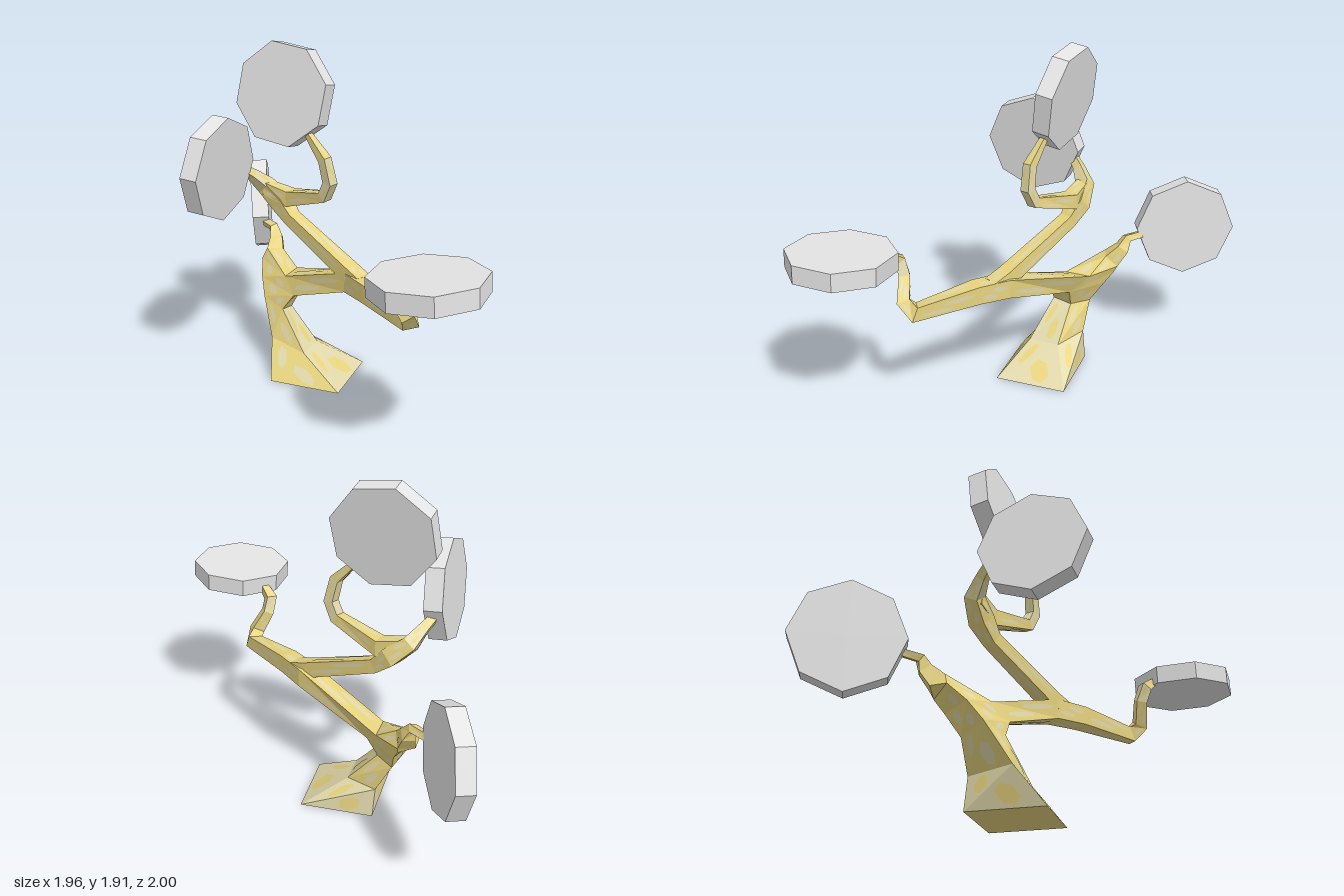
import * as THREE from 'three';

function flat(name, color) {
  const m = new THREE.MeshStandardMaterial({ color, flatShading: true });
  m.name = name;
  return m;
}
const bark = flat('golden bark', 0xe8d47e);
const paleBark = flat('pale bark', 0xe1d8aa);
const leaf = flat('pale foliage', 0xe4e4e4);

const vec = (p) => new THREE.Vector3(p[0], p[1], p[2]);

// Thin lens-shaped bark mark lying on triangle p, q, r, along its edge p-q
function streak(p, q, r, material) {
  const along = q.clone().sub(p);
  const across = r.clone().sub(p).addScaledVector(along, -0.5);
  const n = along.clone().cross(across).normalize();
  const centre = p.clone().add(q).add(r).divideScalar(3).addScaledVector(n, 0.002);
  const geo = new THREE.CircleGeometry(1, 6);
  geo.applyMatrix4(new THREE.Matrix4()
    .makeBasis(along.multiplyScalar(0.26), across.multiplyScalar(0.15), n).setPosition(centre));
  const mesh = new THREE.Mesh(geo, material);
  mesh.name = 'barkStreak';
  return mesh;
}

// Closed skin over four-cornered rings, counter-clockwise seen from the tip;
// isPale(segment, side) picks the lighter bark, streaks take the other one
function loft(name, rings, isPale) {
  const group = new THREE.Group();
  group.name = name;
  const index = [];
  const geo = new THREE.BufferGeometry();
  const last = rings.length - 1;
  for (let s = 0; s < last; s++) {
    for (let i = 0; i < 4; i++) {
      const j = (i + 1) % 4;
      const a = s * 4 + i, b = s * 4 + j;
      const pale = isPale(s, i);
      geo.addGroup(index.length, 6, pale ? 1 : 0);
      index.push(a, b, b + 4, a, b + 4, a + 4);
      const [A, B, C, D] = [rings[s][i], rings[s][j], rings[s + 1][j], rings[s + 1][i]];
      const other = pale ? bark : paleBark;
      if (B.distanceTo(C) > 0.1) group.add(streak(B, C, A, other));
      if (A.distanceTo(D) > 0.1) group.add(streak(D, A, C, other));
    }
  }
  const e = last * 4;
  geo.addGroup(index.length, 12, 0);
  index.push(0, 2, 1, 0, 3, 2, e, e + 1, e + 2, e, e + 2, e + 3);
  const pos = rings.flat().flatMap((p) => p.toArray());
  geo.setAttribute('position', new THREE.Float32BufferAttribute(pos, 3));
  geo.setIndex(index);
  geo.computeVertexNormals();
  const skin = new THREE.Mesh(geo, [bark, paleBark]);
  skin.name = name + 'Skin';
  return group.add(skin);
}

// Square limb along points [x, y, z, half width], optionally grown from a root ring
function limb(name, points, paleSegments, root) {
  const c = points.map(vec);
  let side = null;
  const rings = c.map((p, i) => {
    const t = new THREE.Vector3();
    if (i > 0) t.add(p.clone().sub(c[i - 1]).normalize());
    if (i < c.length - 1) t.add(c[i + 1].clone().sub(p).normalize());
    t.normalize();
    if (!side) side = new THREE.Vector3(0, 1, 0).cross(t);
    side = side.clone().addScaledVector(t, -side.dot(t)).normalize();
    const up = t.clone().cross(side);
    const h = points[i][3];
    return [[-1, -1], [1, -1], [1, 1], [-1, 1]].map(([u, v]) =>
      p.clone().addScaledVector(side, u * h).addScaledVector(up, v * h));
  });
  if (root) rings.unshift(root);
  return loft(name, rings, (s) => paleSegments.includes(s));
}

// Eight-sided leaf pad: centre, face normal, direction of one corner
function pad(name, centre, normal, corner) {
  const n = vec(normal).normalize();
  const z = vec(corner);
  z.addScaledVector(n, -z.dot(n)).normalize();
  const x = n.clone().cross(z);
  const mesh = new THREE.Mesh(new THREE.CylinderGeometry(0.29, 0.29, 0.1, 8), leaf);
  mesh.quaternion.setFromRotationMatrix(new THREE.Matrix4().makeBasis(x, n, z));
  mesh.position.set(...centre);
  mesh.name = name;
  return mesh;
}

export function createModel() {
  const tree = new THREE.Group();
  tree.name = 'tree';

  // Flared, leaning trunk up to the fork
  const trunk = [
    [[-0.37, 0, 0.155], [0.045, 0, 0.155], [0.045, 0, -0.26], [-0.37, 0, -0.26]],
    [[-0.43, 0.2, 0.0], [-0.21, 0.15, 0.04], [-0.2, 0.15, -0.14], [-0.38, 0.17, -0.24]],
    [[-0.53, 0.4, -0.12], [-0.38, 0.365, -0.05], [-0.37, 0.345, -0.16], [-0.47, 0.34, -0.25]],
    [[-0.575, 0.49, -0.19], [-0.31, 0.46, -0.05], [-0.31, 0.455, -0.17], [-0.49, 0.46, -0.33]],
    [[-0.615, 0.57, -0.28], [-0.39, 0.545, -0.12], [-0.38, 0.545, -0.27], [-0.52, 0.53, -0.38]],
  ].map((ring) => ring.map(vec));
  tree.add(loft('trunk', trunk, (s, side) => (s === 0 && side > 0) || (s === 1 && side === 1)));
  const [f0, f1, f2, f3] = trunk[4];

  // Branches
  tree.add(
    limb('backBranch', [
      [-0.555, 0.6, -0.35, 0.048], [-0.575, 0.67, -0.41, 0.035],
      [-0.6, 0.725, -0.43, 0.022], [-0.72, 0.725, -0.52, 0.018]],
    [], [f3, f0, f1, f2]),
    limb('mainBranch', [
      [0.1, 0.66, 0.07, 0.055], [0.24, 0.665, 0.19, 0.052], [0.53, 0.645, 0.42, 0.043],
      [0.53, 0.7, 0.48, 0.036], [0.465, 0.82, 0.5, 0.03], [0.455, 0.9, 0.53, 0.03],
      [0.52, 0.96, 0.58, 0.02]],
    [5], [trunk[3][1], trunk[3][2], f2, f1]),
    limb('upperBranch', [
      [0.17, 0.675, 0.12, 0.045], [0.08, 0.71, 0.07, 0.045], [-0.35, 0.905, -0.14, 0.038],
      [-0.43, 0.985, -0.175, 0.05], [-0.53, 1.07, -0.18, 0.04], [-0.585, 1.14, -0.125, 0.027],
      [-0.65, 1.21, -0.05, 0.018]],
    [4]),
    limb('topBranch', [
      [-0.52, 1.06, -0.175, 0.036], [-0.36, 1.022, -0.15, 0.044], [-0.1, 1.095, -0.02, 0.03],
      [-0.06, 1.18, 0.0, 0.029], [-0.09, 1.31, 0.0, 0.027], [-0.2, 1.43, -0.04, 0.016],
      [-0.24, 1.47, -0.06, 0.014]],
    [2, 3]),
  );

  // Foliage pads
  tree.add(
    pad('topFoliage', [-0.365, 1.628, -0.105], [-0.14, 0.16, 1], [0.507, 0.862, 0]),
    pad('leftFoliage', [0.706, 0.985, 0.725], [-0.06, 1, -0.02], [0.41, 0, -0.912]),
    pad('rightFoliage', [-0.65, 1.248, 0.165], [1, -0.08, 0.09], [0, 1, -0.03]),
    pad('backFoliage', [-0.82, 0.766, -0.72], [0.914, 0.05, -0.406], [0, 1, 0]),
  );
  return tree;
}
